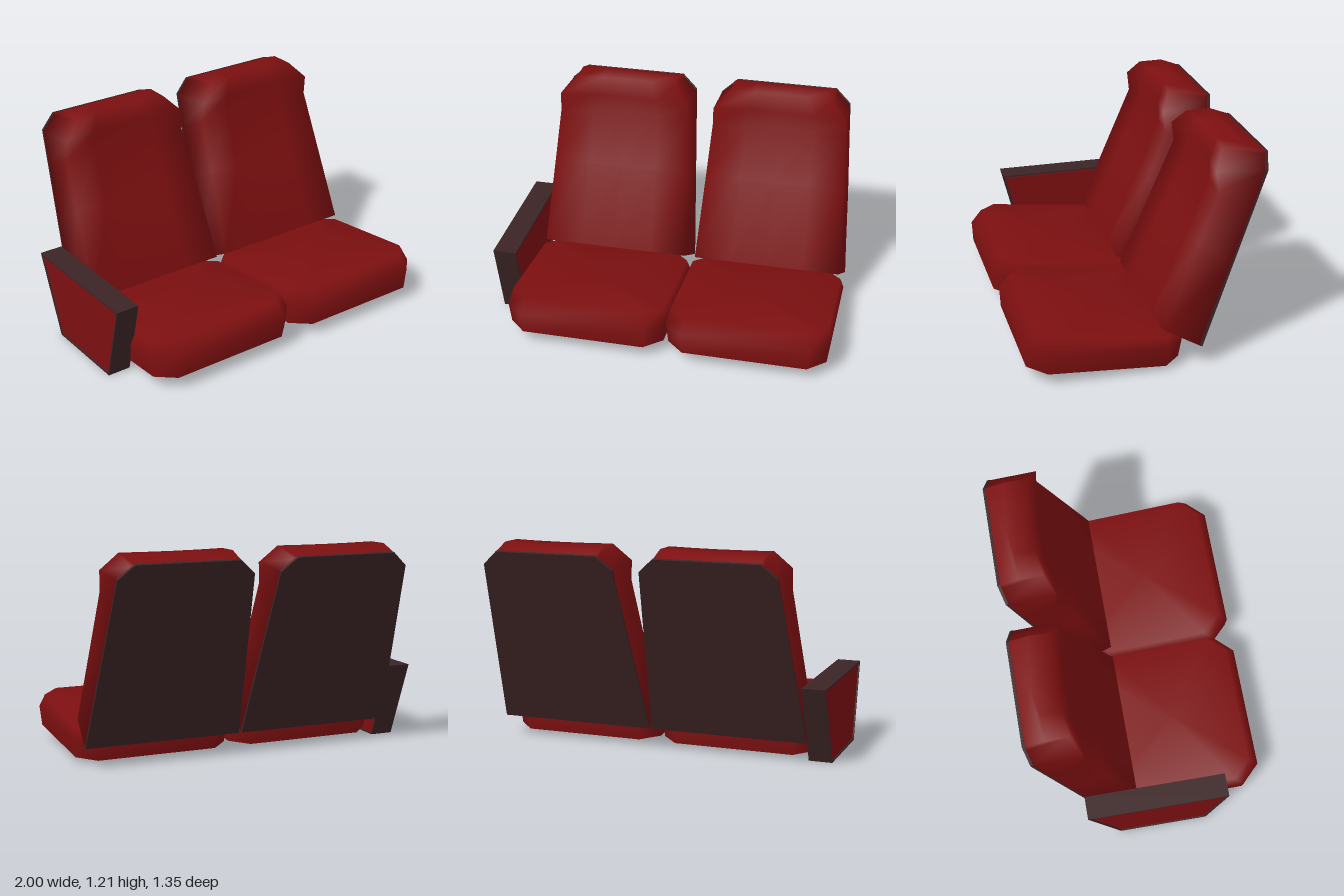
import * as THREE from 'three';

const red = new THREE.MeshStandardMaterial({ color: 0x7c0f10 });
red.name = 'red upholstery';
const dark = new THREE.MeshStandardMaterial({ color: 0x3c2425 });
dark.name = 'dark brown shell';

// Skin a stack of rings (counter-clockwise from above) and close the chosen ends.
function loft(rings, { top = true, bottom = true } = {}) {
  const n = rings[0].length;
  const pos = rings.flat(2);
  const index = [];
  for (let i = 0; i < rings.length - 1; i++) {
    for (let j = 0; j < n; j++) {
      const k = (j + 1) % n;
      const a = i * n + j, b = i * n + k, c = b + n, d = a + n;
      index.push(a, b, c, a, c, d);
    }
  }
  const cap = (ring, base, up) => {
    const centre = pos.length / 3;
    for (let axis = 0; axis < 3; axis++) {
      pos.push(ring.reduce((s, p) => s + p[axis], 0) / n);
    }
    for (let j = 0; j < n; j++) {
      const k = (j + 1) % n;
      index.push(centre, base + (up ? j : k), base + (up ? k : j));
    }
  };
  if (top) cap(rings[rings.length - 1], (rings.length - 1) * n, true);
  if (bottom) cap(rings[0], 0, false);
  const geo = new THREE.BufferGeometry();
  geo.setAttribute('position', new THREE.Float32BufferAttribute(pos, 3));
  geo.setIndex(index);
  geo.computeVertexNormals();
  return geo;
}

function polygon(points, Type = THREE.Shape) {
  return new Type(points.map(([x, y]) => new THREE.Vector2(x, y)));
}

function addMesh(parent, name, geometry, material) {
  const mesh = new THREE.Mesh(geometry, material);
  mesh.name = name;
  parent.add(mesh);
  return mesh;
}

// Octagonal outline whose height slopes from back to front.
function octagon(half, front, back, yFront, yBack, cut) {
  return [
    [-half + cut, front], [half - cut, front], [half, front - cut], [half, back + cut],
    [half - cut, back], [-half + cut, back], [-half, back + cut], [-half, front - cut],
  ].map(([x, z]) => [x, yBack + (yFront - yBack) * (z - back) / (front - back), z]);
}

// Backrest section: front edge dished in the middle, straight back edge.
function backSection({ front, back, wf, wb, dish }) {
  const ring = [-1, -0.5, 0, 0.5, 1].map((t) => [t * wf, front[1], front[0] - dish * (1 - t * t)]);
  ring.push([wb, back[1], back[0]], [-wb, back[1], back[0]]);
  return ring;
}

function createSeat() {
  const seat = new THREE.Group();

  // Seat cushion and its dark underside
  const base = octagon(0.455, 0.675, -0.18, 0.08, 0.02, 0.1);
  addMesh(seat, 'seatCushion', loft([
    base,
    octagon(0.47, 0.68, -0.195, 0.2, 0.13, 0.105),
    octagon(0.45, 0.62, -0.18, 0.283, 0.188, 0.1),
  ], { bottom: false }), red);
  const under = polygon(base.map(([x, , z]) => [x, z]));
  const underGeo = new THREE.ShapeGeometry(under);
  underGeo.rotateX(Math.PI / 2);
  const p = underGeo.attributes.position;
  for (let i = 0; i < p.count; i++) p.setY(i, 0.02 + 0.06 * (p.getZ(i) + 0.18) / 0.855);
  underGeo.computeVertexNormals();
  addMesh(seat, 'seatUnderside', underGeo, dark);

  // Backrest cushion with headrest bulge; points are [z, y]
  addMesh(seat, 'backrestCushion', loft([
    { front: [-0.065, 0.24], back: [-0.265, 0.13], wf: 0.435, wb: 0.46, dish: 0 },
    { front: [-0.25, 0.7], back: [-0.44, 0.59], wf: 0.41, wb: 0.43, dish: 0.01 },
    { front: [-0.37, 0.995], back: [-0.559, 0.9], wf: 0.395, wb: 0.405, dish: 0.02 },
    { front: [-0.355, 1.11], back: [-0.63, 1.085], wf: 0.39, wb: 0.39, dish: 0.035 },
    { front: [-0.41, 1.205], back: [-0.655, 1.15], wf: 0.3, wb: 0.315, dish: 0.03 },
    { front: [-0.55, 1.207], back: [-0.66, 1.165], wf: 0.3, wb: 0.3, dish: 0 },
  ].map(backSection)), red);

  // Dark shell behind the backrest
  const shell = new THREE.ExtrudeGeometry(polygon([
    [-0.46, 0], [0.46, 0], [0.39, 1.03], [0.3, 1.112], [-0.3, 1.112], [-0.39, 1.03],
  ]), { depth: 0.017, bevelEnabled: false });
  shell.translate(0, 0, -0.018);
  const shellMesh = addMesh(seat, 'backrestShell', shell, dark);
  shellMesh.rotation.x = -0.357;
  shellMesh.position.set(0, 0.128, -0.266);
  return seat;
}

// Side profile [z, y] extruded along x between two planes
function sideExtrude(shape, x0, x1) {
  const geo = new THREE.ExtrudeGeometry(shape, { depth: x1 - x0, bevelEnabled: false });
  geo.rotateY(-Math.PI / 2); // profile x becomes z, depth runs to -x
  geo.translate(x1, 0, 0);
  return geo;
}

function createArmrest() {
  const arm = new THREE.Group();
  const rim = polygon([[0.33, 0], [0.445, 0.457], [-0.38, 0.457], [-0.19, 0]]);
  rim.holes.push(polygon([[0.321, 0.01], [0.432, 0.446], [-0.365, 0.446], [-0.183, 0.01]], THREE.Path));
  addMesh(arm, 'armrestRim', sideExtrude(rim, -1, -0.865), dark);
  const panel = polygon([[0.321, 0.01], [0.43, 0.44], [-0.362, 0.44], [-0.183, 0.01]]);
  addMesh(arm, 'armrestPanel', sideExtrude(panel, -0.993, -0.872), red);
  return arm;
}

export function createModel() {
  const model = new THREE.Group();
  model.name = 'doubleSeat';
  [['rightSeat', -0.412], ['leftSeat', 0.526]].forEach(([name, x]) => {
    const seat = createSeat();
    seat.name = name;
    seat.position.x = x;
    model.add(seat);
  });
  const arm = createArmrest();
  arm.name = 'armrest';
  model.add(arm);
  return model;
}
